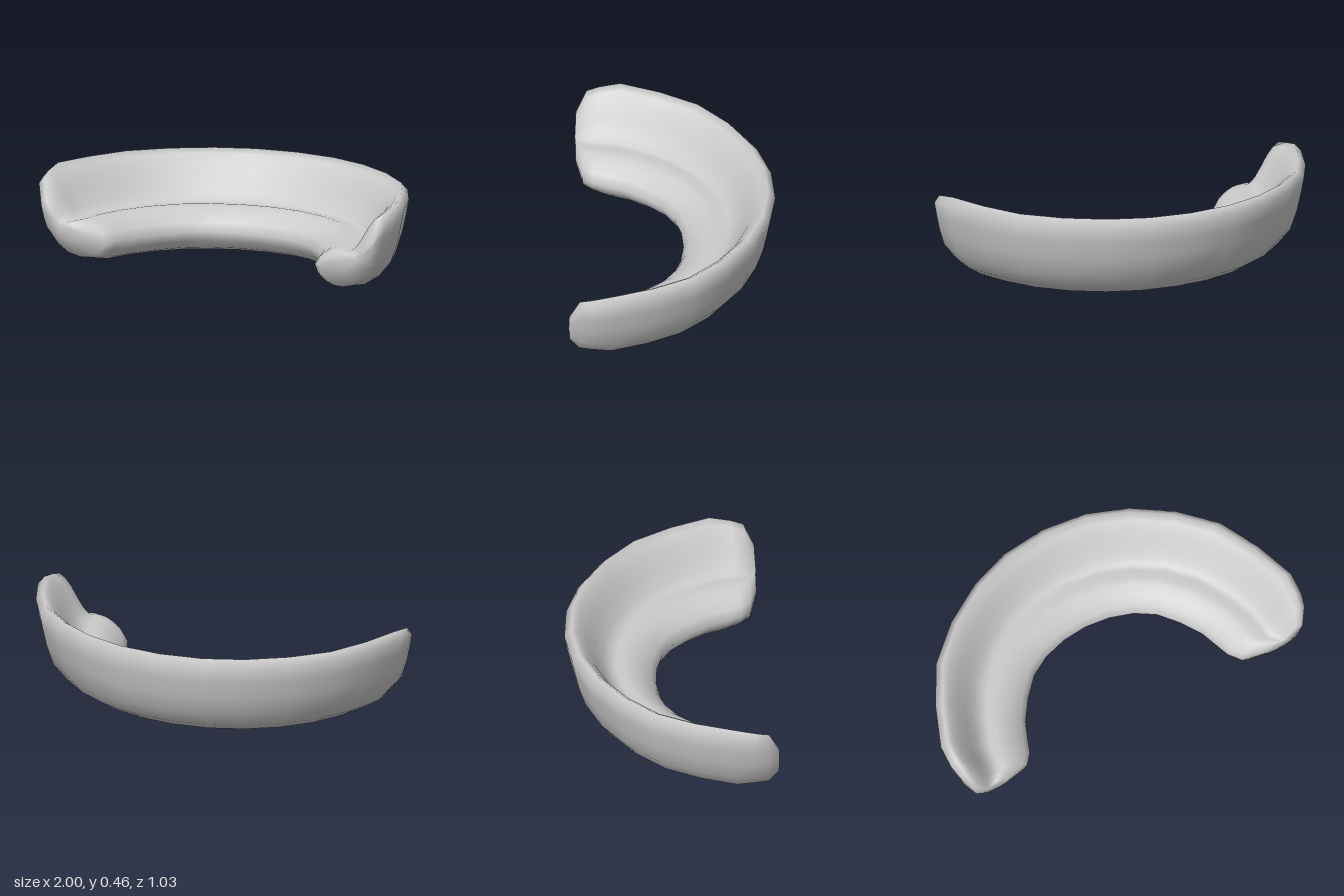
import * as THREE from 'three';

// Cross-section of the curved sofa: [fraction from outer to inner edge, height],
// running up the back, over the rim, down the sloping backrest, across the seat and under the base
const SECTION = [
  [0.075, 0.25], [0.035, 0.335], [0, 0.42], [0.075, 0.46], [0.15, 0.437], [0.24, 0.388],
  [0.33, 0.32], [0.42, 0.258], [0.5, 0.226], [0.57, 0.222], [0.65, 0.229], [0.74, 0.221],
  [0.84, 0.198], [0.94, 0.16], [1, 0.115], [0.96, 0.065], [0.87, 0.025], [0.75, 0.004],
  [0.63, 0], [0.45, 0.018], [0.29, 0.065], [0.15, 0.145],
];

// Stations from the middle to the left end: outer x, z, inner x, z, height scale
const STATIONS = [
  [0, -0.515, 0, -0.05, 1],
  [0.23, -0.49, 0.13, -0.037, 1],
  [0.44, -0.415, 0.25, 0, 1],
  [0.64, -0.29, 0.35, 0.06, 1],
  [0.81, -0.13, 0.435, 0.155, 1],
  [0.92, 0.07, 0.505, 0.26, 1],
  [1, 0.28, 0.54, 0.35, 1],
  [1, 0.39, 0.565, 0.42, 0.91],
  [0.985, 0.455, 0.605, 0.47, 0.845],
  [0.945, 0.51, 0.72, 0.507, 0.42],
];
const MID_HEIGHT = 0.2;

function sofaGeometry() {
  const mirrored = STATIONS.slice(1).reverse().map(([ox, oz, ix, iz, k]) => [-ox, oz, -ix, iz, k]);
  const rings = [...mirrored, ...STATIONS];
  const n = SECTION.length;
  const positions = [];
  const index = [];

  // Swept body
  rings.forEach(([ox, oz, ix, iz, k]) => SECTION.forEach(([t, y]) => positions.push(
    THREE.MathUtils.lerp(ox, ix, t),
    MID_HEIGHT + (y - MID_HEIGHT) * k,
    THREE.MathUtils.lerp(oz, iz, t),
  )));
  for (let i = 0; i < rings.length - 1; i++) {
    for (let j = 0; j < n; j++) {
      const k = (j + 1) % n;
      const a = i * n + j, b = i * n + k, c = a + n, d = b + n;
      index.push(a, b, c, b, d, c);
    }
  }

  // Closed, slightly domed ends
  const last = (rings.length - 1) * n;
  const center = rings.length * n;
  positions.push(-0.85, 0.19, 0.515, 0.85, 0.19, 0.515);
  for (let j = 0; j < n; j++) {
    const k = (j + 1) % n;
    index.push(center, k, j);
    index.push(center + 1, last + j, last + k);
  }

  const geometry = new THREE.BufferGeometry();
  geometry.setAttribute('position', new THREE.Float32BufferAttribute(positions, 3));
  geometry.setIndex(index);
  geometry.computeVertexNormals();
  return geometry;
}

export function createModel() {
  const group = new THREE.Group();
  group.name = 'curvedSofa';
  const body = new THREE.Mesh(sofaGeometry(), new THREE.MeshStandardMaterial({ color: 0xcccccc }));
  body.name = 'sofaBody';
  group.add(body);
  return group;
}
